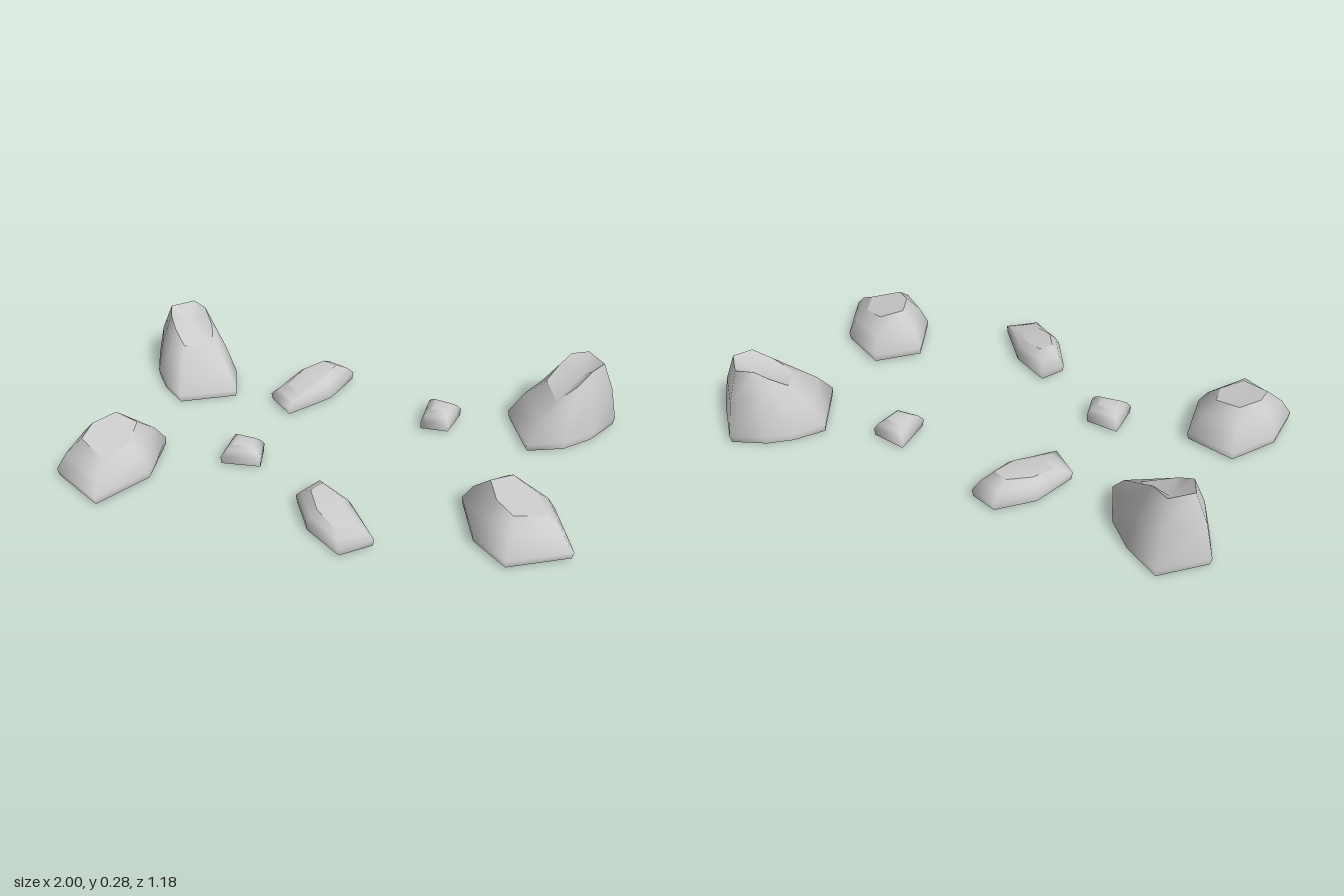
import * as THREE from 'three';

const material = new THREE.MeshStandardMaterial({ color: 0xcccccc, side: THREE.DoubleSide });
const { lerp, degToRad } = THREE.MathUtils;

// Open-bottomed boulder: base, widest outline, shoulder and crown rings, plus a creased cap.
// The crown is the outline shrunk about the apex; its height falls along the downhill direction.
function rockGeometry({ center, baseY, outline, apex, shrink, height, maxHeight, downhill, capY }) {
  const n = outline.length;
  const apexX = apex[0] - center[0], apexZ = apex[1] - center[1];
  const waist = outline.map(([x, z]) => [x - center[0], baseY + 0.03, z - center[1]]);
  const base = waist.map(([x, , z]) => [x * 0.975, baseY, z * 0.975]);
  const crown = waist.map(([x, , z]) => {
    const dx = (x - apexX) * shrink, dz = (z - apexZ) * shrink;
    const y = Math.min(maxHeight, height - downhill[0] * dx - downhill[1] * dz);
    return [apexX + dx, y, apexZ + dz];
  });
  const shoulder = waist.map((p, i) => p.map((v, k) => lerp(v, crown[i][k], k === 1 ? 0.55 : 0.4)));

  // the crown ring is repeated so that the cap keeps a sharp rim
  const positions = [base, waist, shoulder, crown, crown].flat(2);
  positions.push(apexX, capY, apexZ);
  const index = [];
  for (let i = 0; i < n; i++) {
    const j = (i + 1) % n;
    for (let r = 0; r < 3; r++) {
      const a = r * n + i, b = r * n + j;
      index.push(b, a, a + n, b, a + n, b + n);
    }
    index.push(5 * n, 4 * n + j, 4 * n + i);
  }
  const geometry = new THREE.BufferGeometry();
  geometry.setAttribute('position', new THREE.Float32BufferAttribute(positions, 3));
  geometry.setIndex(index);
  geometry.computeVertexNormals();
  return geometry;
}

// Tall rock with one long sloping side
const tallRock = {
  center: [-0.75, -0.36], baseY: 0,
  outline: [[-0.81, -0.57], [-0.68, -0.49], [-0.59, -0.39], [-0.54, -0.25],
    [-0.75, -0.15], [-0.85, -0.23], [-0.91, -0.31], [-0.96, -0.44]],
  apex: [-0.79, -0.42], shrink: 0.5,
  height: 0.285, maxHeight: 0.282, downhill: [0.48, 0.64], capY: 0.225,
};

// Broad, low rock
const broadRock = {
  center: [0.69, 0.28], baseY: 0.01,
  outline: [[0.625, 0.07], [0.81, 0.17], [0.9, 0.39], [0.68, 0.495], [0.55, 0.39], [0.48, 0.2]],
  apex: [0.68, 0.28], shrink: 0.5,
  height: 0.155, maxHeight: 0.174, downhill: [0.22, 0], capY: 0.152,
};

// Long, narrow rock
const longRock = {
  center: [0.055, 0.415], baseY: 0.01,
  outline: [[-0.05, 0.25], [0.1, 0.335], [0.225, 0.5], [0.12, 0.58], [-0.025, 0.48], [-0.105, 0.34]],
  apex: [0.055, 0.42], shrink: 0.58,
  height: 0.087, maxHeight: 0.103, downhill: [0.17, 0.14], capY: 0.095,
};

// Small pebble with a pointed top
const smallRock = {
  center: [0.31, -0.285], baseY: 0.01,
  outline: [[0.25, -0.365], [0.385, -0.34], [0.355, -0.215], [0.245, -0.21]],
  apex: [0.31, -0.285], shrink: 0.5,
  height: 0.08, maxHeight: 0.08, downhill: [0, 0], capY: 0.094,
};

export function createModel() {
  const model = new THREE.Group();
  model.name = 'rocks';

  // Each rock stands where it was outlined, and once more at x, z turned by some degrees
  function addPair(name, rock, x, z, turn) {
    const geometry = rockGeometry(rock);
    const first = new THREE.Mesh(geometry, material);
    first.name = name;
    first.position.set(rock.center[0], 0, rock.center[1]);
    const second = new THREE.Mesh(geometry, material);
    second.name = name + 'Turned';
    second.position.set(x, 0, z);
    second.rotation.y = -degToRad(turn);
    model.add(first, second);
  }
  addPair('tallRock', tallRock, 0.78, -0.39, 90);
  addPair('broadRock', broadRock, -0.83, 0.31, 56);
  addPair('longRock', longRock, -0.24, -0.35, 78);
  addPair('smallRock', smallRock, -0.375, 0.13, -98);
  return model;
}
